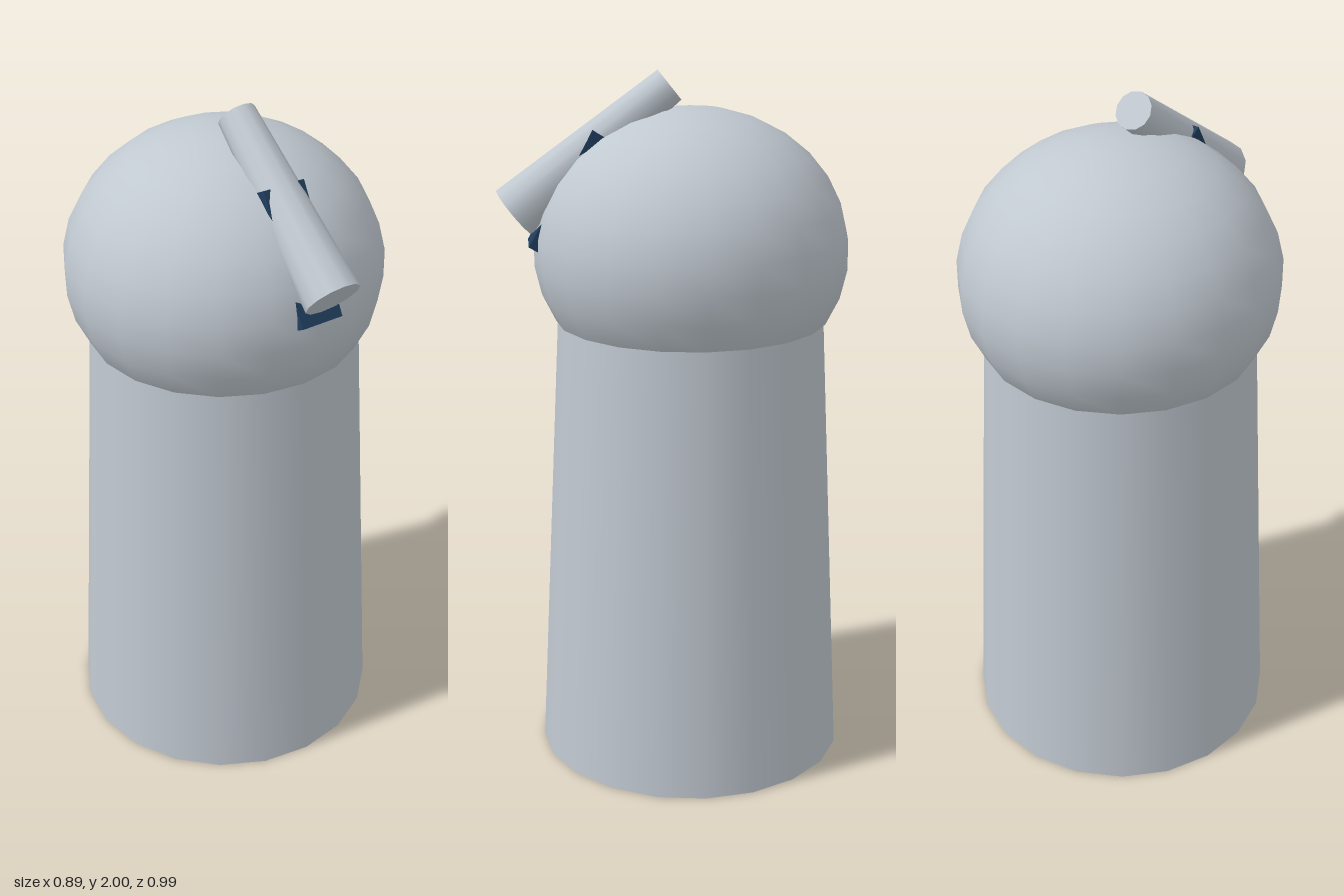
import * as THREE from 'three';

export function createModel() {
  const group = new THREE.Group();
  const paint = new THREE.MeshStandardMaterial({ color: 0xc0c8d0 });
  paint.name = 'pale grey';
  const dark = new THREE.MeshStandardMaterial({ color: 0x1f3d5c });
  dark.name = 'dark blue';

  const add = (name, geometry, material, x, y, z) => {
    const mesh = new THREE.Mesh(geometry, material);
    mesh.name = name;
    mesh.position.set(x, y, z);
    group.add(mesh);
    return mesh;
  };

  const sides = 20;
  const centreZ = -0.05;

  // Tapered tower, closed at the base
  add('tower', new THREE.CylinderGeometry(0.382, 0.447, 1.3, sides), paint, 0, 0.65, centreZ);

  // Slightly flattened dome, cut off below its equator
  const dome = add('dome',
    new THREE.SphereGeometry(0.447, sides, 10, 0, Math.PI * 2, 0, Math.PI * 2 / 3),
    paint, 0, 1.5, centreZ);
  dome.scale.y = 0.4 / 0.447;

  // Dome opening: a tilted block whose outer face runs between two corners
  const upper = new THREE.Vector2(0.228, 1.845); // (z, y)
  const lower = new THREE.Vector2(0.41, 1.525);
  const along = upper.clone().sub(lower);
  const depth = 0.15;
  const tilt = Math.atan2(along.x, along.y);
  const slit = add('domeOpening', new THREE.BoxGeometry(0.126, along.length(), depth), dark,
    0,
    (upper.y + lower.y) / 2 + Math.sin(tilt) * depth / 2,
    (upper.x + lower.x) / 2 - Math.cos(tilt) * depth / 2);
  slit.rotation.x = tilt;

  // Telescope tube, widest at the front end
  const back = new THREE.Vector3(0, 1.96, 0.012);
  const front = new THREE.Vector3(0, 1.613, 0.448);
  const axis = back.clone().sub(front);
  const middle = back.clone().add(front).multiplyScalar(0.5);
  const tube = add('telescopeTube',
    new THREE.CylinderGeometry(0.053, 0.078, axis.length(), 12),
    paint, middle.x, middle.y, middle.z);
  tube.rotation.x = Math.atan2(axis.z, axis.y);

  return group;
}
